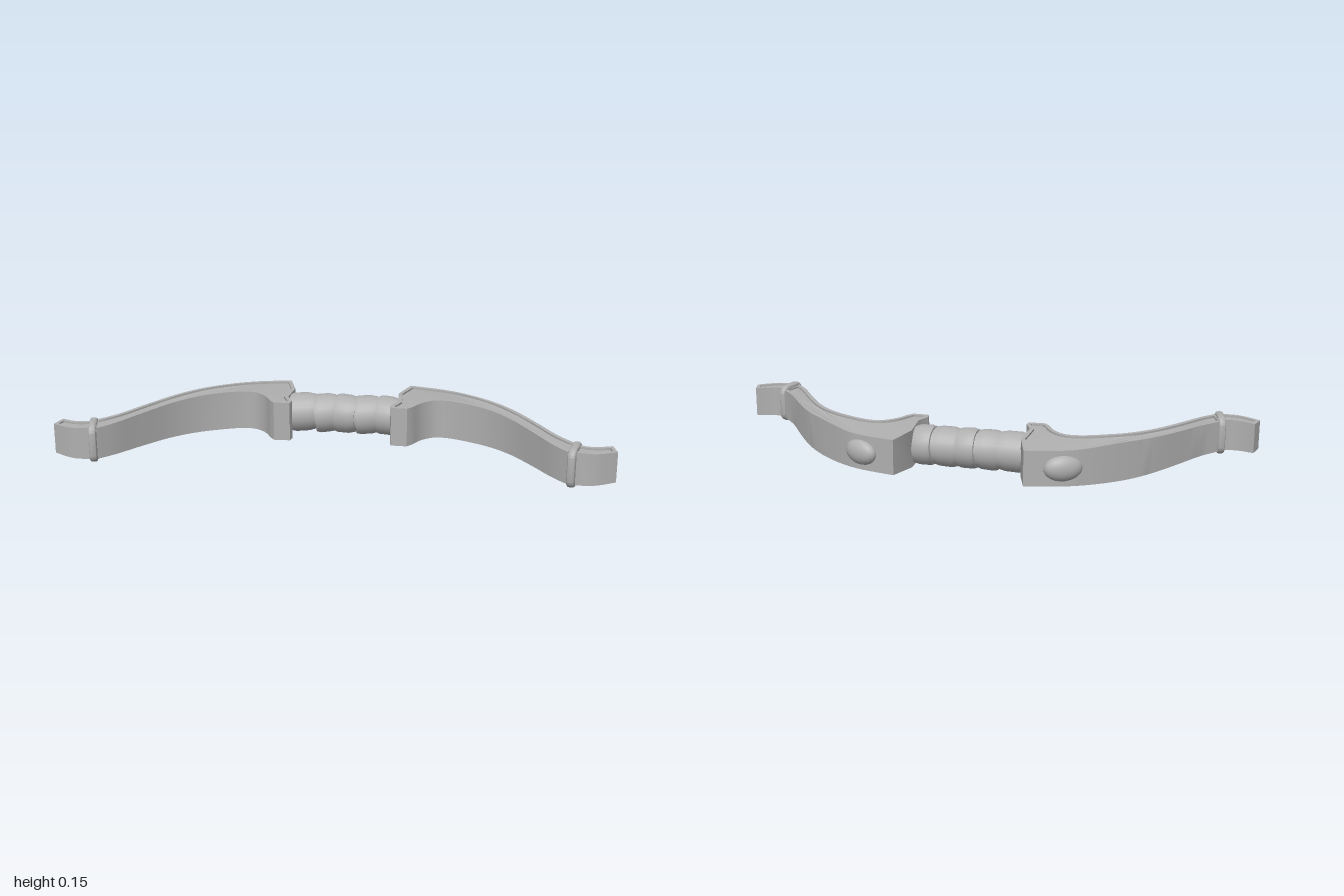
import * as THREE from 'three';
import { toCreasedNormals } from 'three/addons/utils/BufferGeometryUtils.js';

const MID_Y = 0.076;

// Points of a smooth run through [x, z] pairs
const curve = (pts, n) => new THREE.SplineCurve(pts.map(p => new THREE.Vector2(...p))).getPoints(n);
const points = pts => pts.map(p => new THREE.Vector2(...p));

// Outline moved inwards by d, with mitred corners
function inset(pts, d) {
  const s = Math.sign(THREE.ShapeUtils.area(pts));
  const n = pts.length;
  return pts.map((p, i) => {
    const a = p.clone().sub(pts[(i + n - 1) % n]).normalize();
    const b = pts[(i + 1) % n].clone().sub(p).normalize();
    const na = new THREE.Vector2(-a.y, a.x), nb = new THREE.Vector2(-b.y, b.x);
    const m = na.clone().add(nb).normalize();
    return p.clone().addScaledVector(m, s * d / Math.max(0.45, m.dot(na)));
  });
}

// Upright slab from a plan outline; half height follows the rule
function slab(outline, hole, halfHeight) {
  const shape = new THREE.Shape(outline);
  if (hole) shape.holes.push(new THREE.Path(hole));
  const g = new THREE.ExtrudeGeometry(shape, { depth: 2, bevelEnabled: false, curveSegments: 1 });
  g.translate(0, 0, -1).rotateX(Math.PI / 2);
  const p = g.attributes.position;
  for (let i = 0; i < p.count; i++) {
    p.setY(i, MID_Y + Math.sign(p.getY(i)) * halfHeight(p.getX(i), p.getZ(i)));
  }
  return g;
}

// Mirrors a geometry across x = 0 and keeps its faces outward
function mirrored(geometry) {
  const g = geometry.index ? geometry.toNonIndexed() : geometry.clone();
  const p = g.attributes.position, v = new THREE.Vector3(), w = new THREE.Vector3();
  for (let i = 0; i < p.count; i += 3) {
    v.fromBufferAttribute(p, i);
    w.fromBufferAttribute(p, i + 2);
    p.setXYZ(i, w.x, w.y, w.z).setXYZ(i + 2, v.x, v.y, v.z);
  }
  return g.scale(-1, 1, 1);
}

export function createModel() {
  const model = new THREE.Group();
  model.name = 'bow';
  const grey = new THREE.MeshStandardMaterial({ color: 0xb0b0b0 });
  grey.name = 'plain grey';

  const add = (name, geometry, crease = 0.6) => {
    const mesh = new THREE.Mesh(toCreasedNormals(geometry, crease), grey);
    mesh.name = name;
    model.add(mesh);
  };
  const addPair = (name, geometry, crease) => {
    add('left' + name, geometry, crease);
    add('right' + name, mirrored(geometry), crease);
  };
  const addRimmed = (name, outline, width, depth, half) => {
    const inner = inset(outline, width);
    addPair(name + 'Rim', slab(outline, inner, half));
    addPair(name + 'Panel', slab(inner, null, (x, z) => half(x, z) - depth));
  };

  // Curved limb with its hooked inner block
  const limb = [
    ...curve([[0.235, -0.325], [0.36, -0.295], [0.45, -0.25], [0.567, -0.155], [0.65, -0.07],
      [0.727, 0.035], [0.797, 0.14], [0.865, 0.215]], 28),
    ...curve([[0.835, 0.305], [0.78, 0.24], [0.715, 0.14], [0.63, 0.02], [0.54, -0.065],
      [0.433, -0.122], [0.353, -0.135], [0.3, -0.1], [0.268, -0.045]], 28),
    ...points([[0.25, -0.023], [0.19, -0.025], [0.185, -0.05], [0.208, -0.1], [0.2, -0.21]])
  ];
  const limbHalf = (x, z) =>
    0.074 - 0.016 * THREE.MathUtils.smoothstep(x, 0.45, 0.87)
    - 0.009 * THREE.MathUtils.smoothstep(-z, 0.13, 0.3);
  addRimmed('Limb', limb, 0.015, 0.007, limbHalf);

  // Upturned tip
  const tip = [
    ...curve([[0.85, 0.215], [0.89, 0.236], [0.935, 0.234], [0.985, 0.214]], 8),
    ...curve([[1.0, 0.27], [0.945, 0.3], [0.9, 0.31], [0.83, 0.3]], 8)
  ];
  addRimmed('Tip', tip, 0.014, 0.007, x => 0.06 - 0.03 * (x - 0.85));

  // Rounded collar between limb and tip
  const w = 0.055, h = 0.063, r = 0.026;
  const ring = new THREE.Shape();
  ring.moveTo(-w + r, -h);
  ring.absarc(w - r, -h + r, r, -Math.PI / 2, 0);
  ring.absarc(w - r, h - r, r, 0, Math.PI / 2);
  ring.absarc(-w + r, h - r, r, Math.PI / 2, Math.PI);
  ring.absarc(-w + r, -h + r, r, Math.PI, Math.PI * 1.5);
  const collar = new THREE.ExtrudeGeometry(ring, {
    depth: 0.01, bevelThickness: 0.009, bevelSize: 0.009, bevelSegments: 3, curveSegments: 5
  });
  collar.translate(0, 0, -0.005).rotateY(Math.PI / 2 - 0.22).translate(0.855, MID_Y, 0.263);
  addPair('Collar', collar, 0.9);

  // Oval stud on the back of each limb
  const stud = new THREE.SphereGeometry(1, 20, 14);
  stud.scale(0.07, 0.047, 0.034).rotateY(-0.46).translate(0.367, MID_Y, -0.286);
  addPair('Stud', stud, 1);

  // Grip core with slanted wrapped bands
  const core = new THREE.CylinderGeometry(0.064, 0.064, 0.42, 24);
  core.rotateZ(Math.PI / 2).translate(0, MID_Y, -0.15);
  add('gripCore', core);

  const edges = [-0.205, -0.11, -0.03, 0.045, 0.13, 0.205];
  const tilts = [0.1, 0.16, -0.08, 0.12, -0.1];
  tilts.forEach((tilt, i) => {
    const half = (edges[i + 1] - edges[i]) / 2 + 0.003;
    const profile = [[0.055, -half], [0.069, -half], [0.074, -half * 0.6], [0.073, half * 0.4],
      [0.066, half], [0.055, half]];
    const band = new THREE.LatheGeometry(points(profile), 24);
    band.rotateZ(-Math.PI / 2 + tilt * 0.6).rotateY(tilt)
      .translate((edges[i] + edges[i + 1]) / 2, MID_Y, -0.15);
    add('gripBand' + (i + 1), band, 0.7);
  });

  return model;
}
